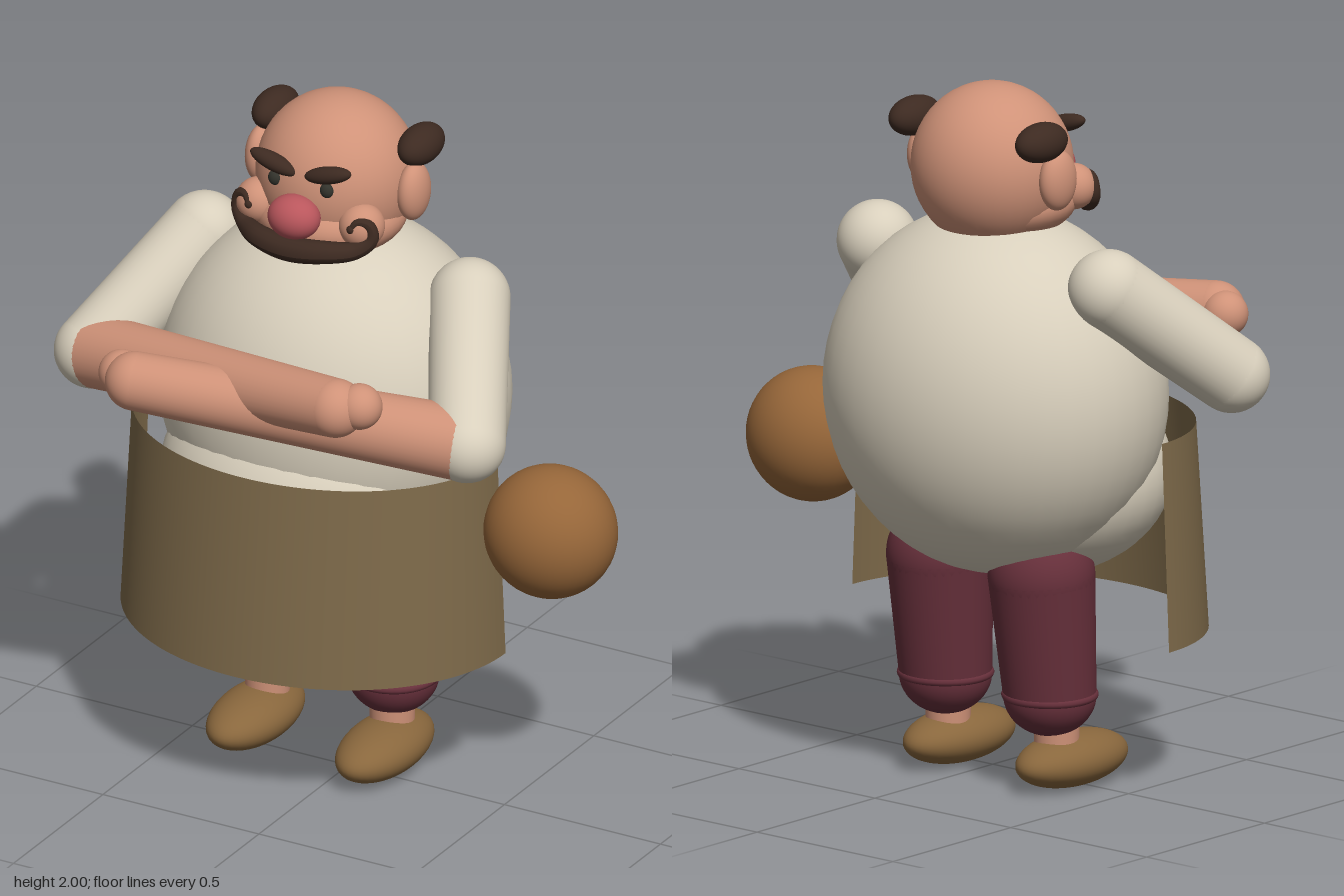
import * as THREE from 'three';

const mat = (name, color, side = THREE.FrontSide) => {
  const m = new THREE.MeshStandardMaterial({ color, side });
  m.name = name;
  return m;
};

export function createModel() {
  const skin = mat('skin', 0xcf9278);
  const shirt = mat('shirt', 0xd8cfbc);
  const leather = mat('apron leather', 0x7e6a4a, THREE.DoubleSide);
  const cloth = mat('trouser cloth', 0x67303b);
  const hair = mat('hair', 0x3d2a21);
  const noseRed = mat('nose red', 0xb9565c);
  const shoeBrown = mat('shoe brown', 0x89673d);
  const ballBrown = mat('ball brown', 0x966639);
  const eyeDark = mat('eye dark', 0x33332c);

  const model = new THREE.Group();
  model.name = 'figure';
  // everything but the ball is symmetric about this off-centre body axis
  const body = new THREE.Group();
  body.name = 'body';
  body.position.x = -0.105;
  model.add(body);

  const unitBall = new THREE.SphereGeometry(1, 40, 28);
  const V = (a) => new THREE.Vector3(...a);

  function add(name, geo, material, parent = body) {
    const mesh = new THREE.Mesh(geo, material);
    mesh.name = name;
    parent.add(mesh);
    return mesh;
  }
  function ball(name, material, pos, r, parent = body) {
    const mesh = add(name, unitBall, material, parent);
    mesh.position.set(...pos);
    mesh.scale.set(...r);
    return mesh;
  }
  // tapered round limb from a to b with ball ends
  function limb(name, material, a, b, ra, rb, capA = true, capB = true) {
    const g = new THREE.Group();
    g.name = name;
    body.add(g);
    const dir = V(b).sub(V(a));
    const tube = add(name + 'Tube', new THREE.CylinderGeometry(rb, ra, dir.length(), 36, 1, true), material, g);
    tube.position.copy(V(a).add(V(b)).multiplyScalar(0.5));
    tube.quaternion.setFromUnitVectors(new THREE.Vector3(0, 1, 0), dir.normalize());
    if (capA) ball(name + 'Start', material, a, [ra, ra, ra], g);
    if (capB) ball(name + 'End', material, b, [rb, rb, rb], g);
  }

  // torso, belly, head and jaw
  ball('torso', shirt, [0, 1.12, -0.108], [0.51, 0.52, 0.442]);
  ball('belly', shirt, [0, 0.88, 0.02], [0.44, 0.31, 0.365]);
  ball('head', skin, [0, 1.765, -0.123], [0.23, 0.235, 0.225]);
  ball('jaw', skin, [0, 1.665, -0.085], [0.218, 0.11, 0.205]);
  ball('nose', noseRed, [0, 1.725, 0.12], [0.077, 0.064, 0.065]);

  for (const s of [-1, 1]) {
    const side = s > 0 ? 'left' : 'right';
    // face
    ball(side + 'Cheek', skin, [s * 0.165, 1.7, 0.03], [0.065, 0.065, 0.065]);
    ball(side + 'Eye', eyeDark, [s * 0.083, 1.81, 0.083], [0.02, 0.022, 0.015]);
    ball(side + 'Brow', hair, [s * 0.087, 1.858, 0.083], [0.076, 0.025, 0.027]).rotation.z = s * 0.27;
    ball(side + 'Ear', skin, [s * 0.243, 1.76, -0.125], [0.042, 0.086, 0.064]);
    ball(side + 'HairTuft', hair, [s * 0.233, 1.878, -0.183], [0.056, 0.056, 0.092]);

    // sleeve
    limb(side + 'Sleeve', shirt, [s * 0.425, 1.475, -0.12], [s * 0.6, 1.2, 0.2], 0.114, 0.108);

    // leg with gathered cuff, ankle and shoe
    limb(side + 'TrouserLeg', cloth, [s * 0.187, 0.62, -0.13], [s * 0.192, 0.27, -0.1], 0.15, 0.13, true, false);
    ball(side + 'TrouserHem', cloth, [s * 0.192, 0.27, -0.1], [0.13, 0.115, 0.13]);
    const cuff = add(side + 'Cuff', new THREE.TorusGeometry(0.123, 0.013, 10, 40), cloth);
    cuff.position.set(s * 0.192, 0.272, -0.1);
    cuff.rotation.x = Math.PI / 2;
    const ankle = add(side + 'Ankle', new THREE.CylinderGeometry(0.065, 0.062, 0.14, 28), skin);
    ankle.position.set(s * 0.2, 0.16, -0.08);
    ball(side + 'Shoe', shoeBrown, [s * 0.207, 0.077, -0.025], [0.108, 0.077, 0.205]);
  }

  // crossed forearms with hands
  limb('rightForearm', skin, [-0.6, 1.2, 0.2], [0.31, 1.34, 0.43], 0.106, 0.083, false);
  ball('rightHand', skin, [0.375, 1.352, 0.41], [0.065, 0.065, 0.065]);
  limb('leftForearm', skin, [0.6, 1.2, 0.2], [-0.315, 1.285, 0.462], 0.106, 0.083, false);
  ball('leftHand', skin, [-0.37, 1.288, 0.438], [0.065, 0.065, 0.065]);

  // moustache: one tapering tube with curled tips
  const half = [[0.1, 1.645, 0.135], [0.175, 1.648, 0.085], [0.213, 1.68, 0.06],
    [0.207, 1.722, 0.062], [0.178, 1.73, 0.075], [0.163, 1.71, 0.085]];
  const path = new THREE.CatmullRomCurve3([
    ...half.map(([x, y, z]) => V([-x, y, z])).reverse(),
    V([0, 1.64, 0.152]),
    ...half.map(V),
  ]);
  const steps = 90, sides = 14;
  const tache = new THREE.TubeGeometry(path, steps, 1, sides);
  const p = tache.attributes.position, v = new THREE.Vector3();
  for (let i = 0; i < p.count; i++) {
    const t = Math.floor(i / (sides + 1)) / steps;
    const c = path.getPointAt(t);
    const r = 0.012 + 0.024 * Math.pow(Math.sin(Math.PI * t), 1.3);
    v.fromBufferAttribute(p, i).sub(c).multiplyScalar(r).add(c);
    p.setXYZ(i, v.x, v.y, v.z);
  }
  tache.computeVertexNormals();
  add('moustache', tache, hair);
  for (const s of [-1, 1]) ball('moustacheTip', hair, [s * 0.163, 1.71, 0.085], [0.014, 0.014, 0.014]);

  // apron: flared half shell, open at the back
  const shell = new THREE.CylinderGeometry(1, 1, 0.595, 64, 1, true, -Math.PI / 2, Math.PI);
  const q = shell.attributes.position;
  for (let i = 0; i < q.count; i++) {
    const top = q.getY(i) > 0;
    q.setX(i, q.getX(i) * (top ? 0.557 : 0.583));
    q.setZ(i, q.getZ(i) * (top ? 0.455 : 0.505));
  }
  shell.computeVertexNormals();
  add('apron', shell, leather).position.set(0, 0.7425, -0.045);

  // round ball at the left hip
  ball('hipBall', ballBrown, [0.62, 0.855, -0.05], [0.19, 0.19, 0.18], model);

  return model;
}
